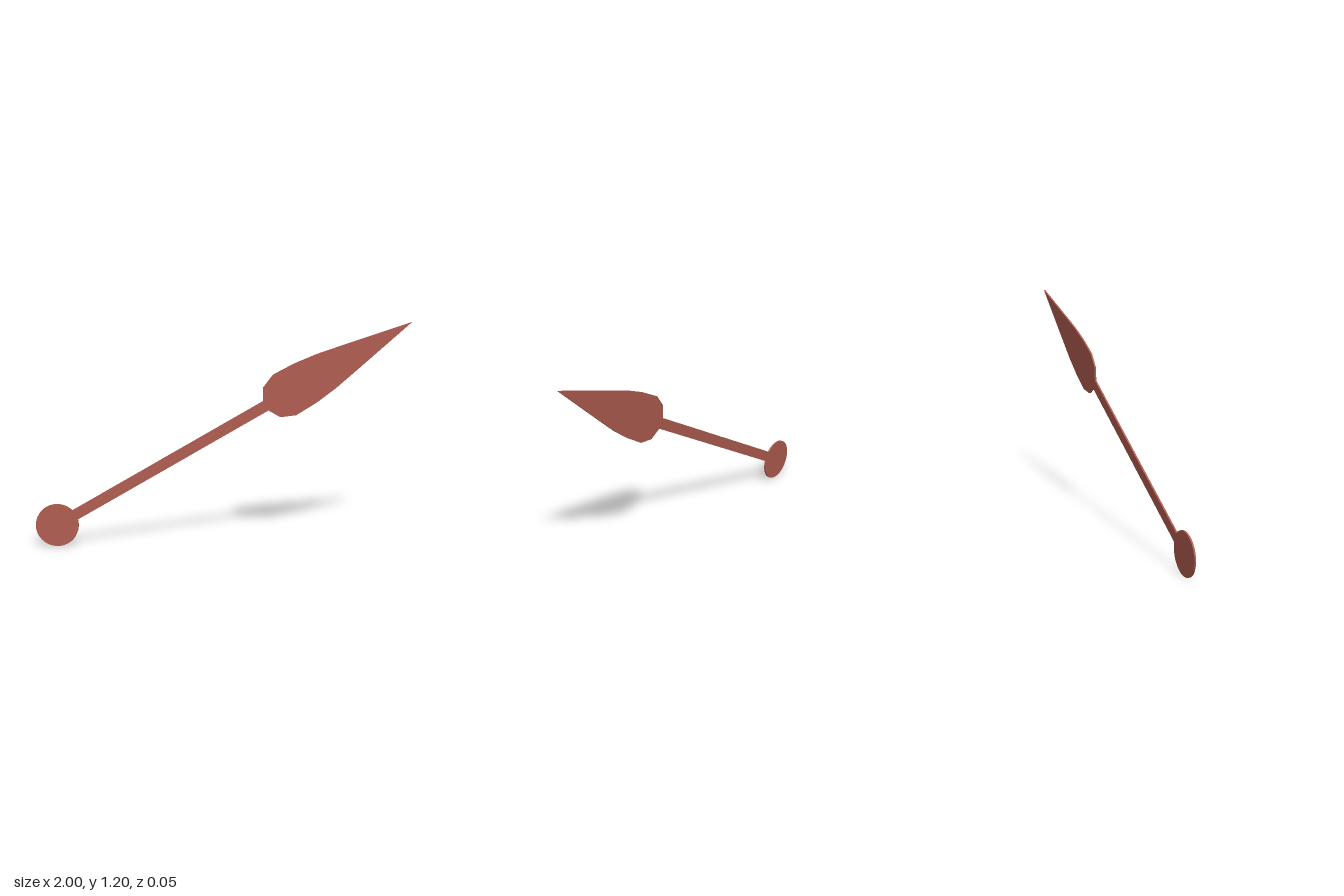
import * as THREE from 'three';

const THICKNESS = 0.009;

// Flat plate cut from an outline, centred on its own thickness
function plate(name, shape, material) {
  const geometry = new THREE.ExtrudeGeometry(shape, { depth: THICKNESS, bevelEnabled: false, curveSegments: 48 });
  geometry.translate(0, 0, -THICKNESS / 2);
  const mesh = new THREE.Mesh(geometry, material);
  mesh.name = name;
  return mesh;
}

// Closed outline mirrored across the long axis, from [along, halfWidth] pairs
function mirroredShape(profile) {
  const upper = profile.map(([u, v]) => new THREE.Vector2(u, v));
  const lower = profile.filter(([, v]) => v > 0).reverse().map(([u, v]) => new THREE.Vector2(u, -v));
  return new THREE.Shape([...upper, ...lower]);
}

export function createModel() {
  const paint = new THREE.MeshStandardMaterial({ color: 0xb05d50 });
  paint.name = 'brickRed';

  const pivotRadius = 0.115;

  // The pointer is laid out along +x from the centre of the pivot disc
  const pointer = new THREE.Group();
  pointer.name = 'pointer';

  const disc = new THREE.Shape();
  disc.absarc(0, 0, pivotRadius, 0, Math.PI * 2, false);
  pointer.add(plate('pivotDisc', disc, paint));

  pointer.add(plate('shaft', mirroredShape([[0.111, 0.029], [1.291, 0.029]]), paint));

  pointer.add(plate('blade', mirroredShape([
    [1.291, 0.029], [1.328, 0.092], [1.406, 0.125], [1.53, 0.121],
    [1.657, 0.105], [1.77, 0.083], [2.177, 0],
  ]), paint));

  pointer.rotation.z = Math.PI / 6;
  pointer.position.set(-1 + pivotRadius, pivotRadius - 0.6, 0);

  // Whole plate leans slightly backwards
  const lean = new THREE.Group();
  lean.name = 'leaningPointer';
  lean.rotation.x = -0.031;
  lean.position.y = 0.6;
  lean.add(pointer);

  const model = new THREE.Group();
  model.name = 'clockHand';
  model.add(lean);
  return model;
}
